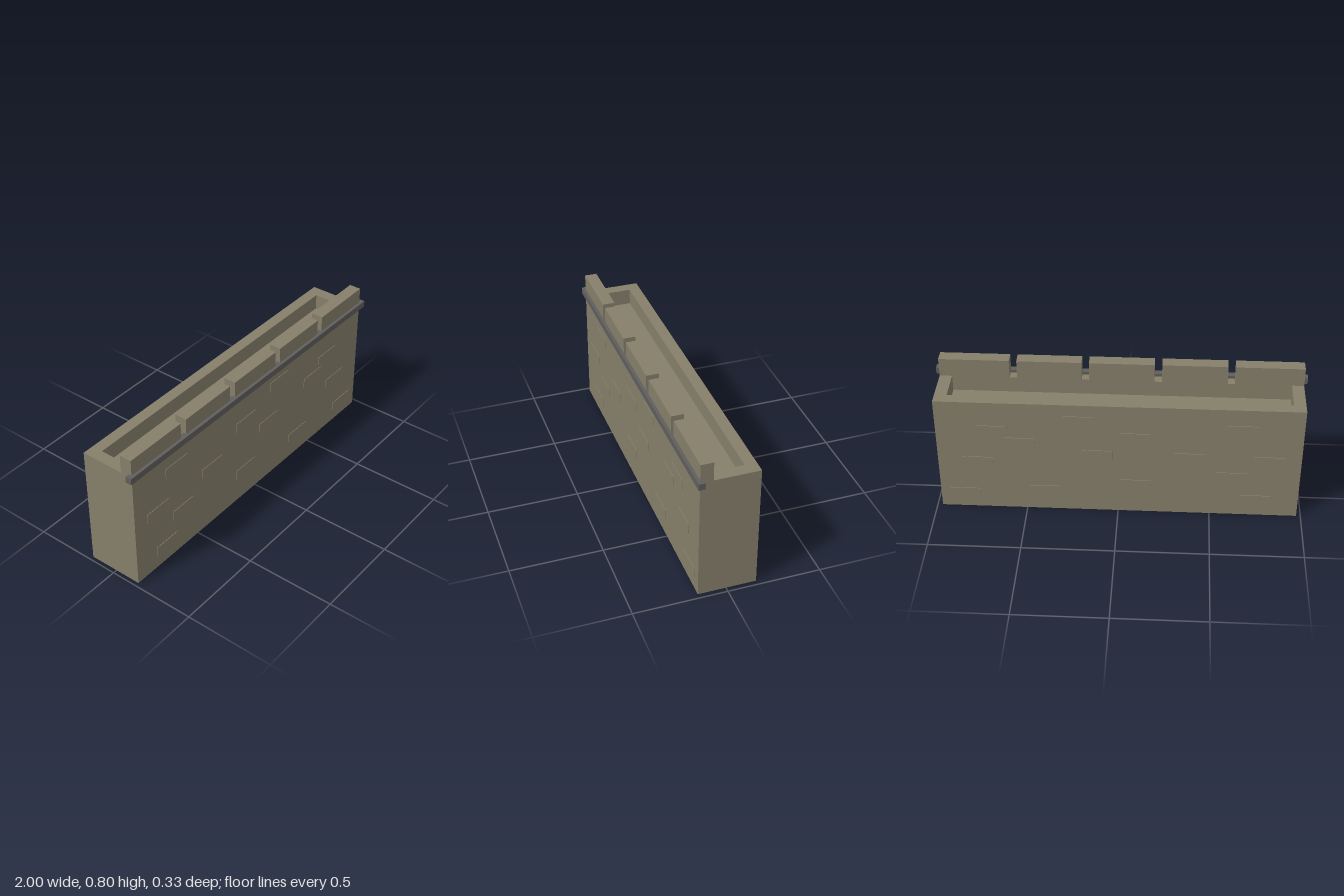
import * as THREE from 'three';

const X0 = -0.977, X1 = 0.972, Z0 = -0.162, Z1 = 0.15, TOP = 0.695;

// Box given by its minimum and maximum corners
function box(name, material, x0, x1, y0, y1, z0, z1) {
  const mesh = new THREE.Mesh(new THREE.BoxGeometry(x1 - x0, y1 - y0, z1 - z0), material);
  mesh.position.set((x0 + x1) / 2, (y0 + y1) / 2, (z0 + z1) / 2);
  mesh.name = name;
  return mesh;
}

// Horizontal rectangle, anticlockwise seen from above
const ring = (x0, x1, z0, z1, y) => [[x0, y, z1], [x1, y, z1], [x1, y, z0], [x0, y, z0]];

// Shell skinned over successive rings, closed by the last one
function shell(rings) {
  const points = [];
  const quad = (a, b, c, d) => points.push(...a, ...b, ...c, ...a, ...c, ...d);
  for (let i = 0; i + 1 < rings.length; i++) {
    for (let k = 0; k < 4; k++) {
      const n = (k + 1) % 4;
      quad(rings[i][k], rings[i][n], rings[i + 1][n], rings[i + 1][k]);
    }
  }
  quad(...rings[rings.length - 1]);
  const geometry = new THREE.BufferGeometry();
  geometry.setAttribute('position', new THREE.Float32BufferAttribute(points, 3));
  geometry.computeVertexNormals();
  return geometry;
}

export function createModel() {
  const model = new THREE.Group();
  model.name = 'battlementWall';
  const stone = new THREE.MeshStandardMaterial({ name: 'stone', color: 0x857e6a, side: THREE.DoubleSide });
  const trim = new THREE.MeshStandardMaterial({ name: 'dark trim', color: 0x605e5c });

  // Hollow wall, open below, with a sunken walkway on top
  const wall = new THREE.Mesh(shell([
    ring(X0, X1, Z0, Z1, 0),
    ring(X0, X1, Z0, Z1, TOP),
    ring(-0.913, 0.905, -0.1, 0.082, TOP),
    ring(-0.913, 0.905, -0.1, 0.082, 0.605),
  ]), stone);
  wall.name = 'wallBody';
  model.add(wall);

  // Parapet blocks separated by narrow slits
  const parapet = new THREE.Group();
  parapet.name = 'parapet';
  const slits = [-0.592, -0.202, 0.187, 0.574];
  const half = 0.02;
  for (let i = 0; i <= slits.length; i++) {
    const x0 = i === 0 ? X0 : slits[i - 1] + half;
    const x1 = i === slits.length ? X1 : slits[i] - half;
    parapet.add(box('merlon', stone, x0, x1, TOP, 0.8, 0.082, Z1));
  }
  model.add(parapet);

  // Dark ledge along the front
  model.add(box('frontLedge', trim, -1, 1, 0.675, 0.711, 0.132, 0.167));

  // Raised stones: [left edge, top edge]
  const W = 0.165, H = 0.055;
  const frontStones = [
    [-0.736, 0.59], [-0.886, 0.396], [-0.695, 0.282], [-0.458, 0.402], [-0.828, 0.132],
    [-0.172, 0.526], [0.122, 0.621], [0.031, 0.402], [-0.172, 0.206], [0.575, 0.54],
    [0.442, 0.468], [0.665, 0.337], [0.311, 0.156], [0.755, 0.124],
  ];
  // Raised stones: [+x edge, bottom edge]
  const backStones = [
    [0.755, 0.494], [0.838, 0.286], [0.608, 0.42], [0.298, 0.57], [0.92, 0.07],
    [0.48, 0.103], [0.193, 0.352], [-0.01, 0.471], [-0.01, 0.161], [-0.296, 0.35],
    [-0.571, 0.54], [-0.528, 0.23], [-0.724, 0.341], [-0.663, 0.079],
  ];
  const stones = new THREE.Group();
  stones.name = 'raisedStones';
  for (const [x, y] of frontStones) {
    stones.add(box('frontStone', stone, x, x + W, y - H, y, 0.13, Z1 + 0.003));
  }
  for (const [x, y] of backStones) {
    stones.add(box('backStone', stone, x - W, x, y, y + H, Z0 - 0.004, -0.142));
  }
  model.add(stones);

  return model;
}
